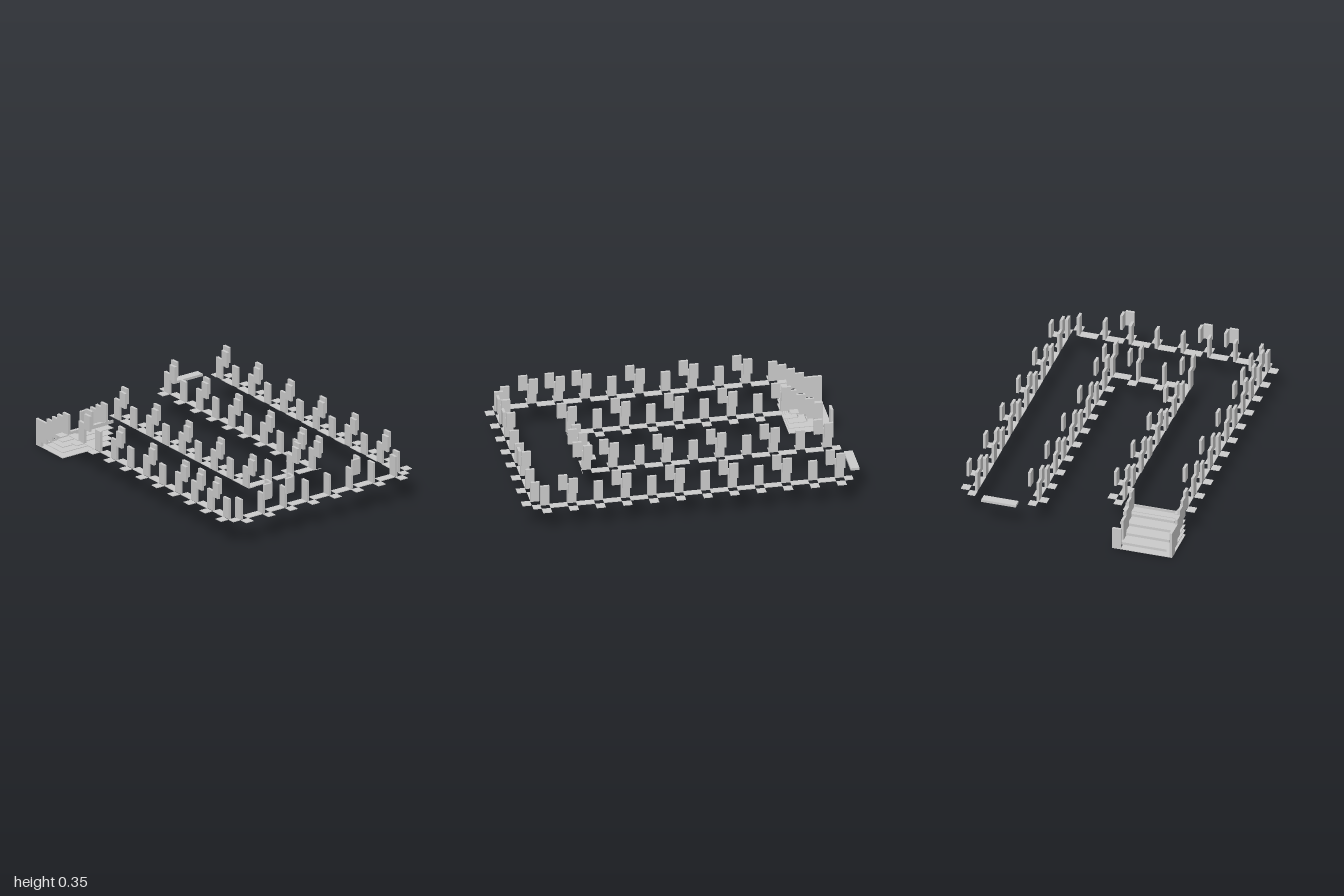
import * as THREE from 'three';

const STEP = 0.158;   // module spacing
const W = 0.053;      // panel and slab width
const T = 0.016;      // panel thickness
const FLOOR = 0.165;

export function createModel() {
  const model = new THREE.Group();
  model.name = 'walkwayWithStairs';
  const stone = new THREE.MeshStandardMaterial({ color: 0xcacaca });
  stone.name = 'pale grey';

  // Box given by its two corners
  function block(parent, name, x0, x1, y0, y1, z0, z1) {
    const mesh = new THREE.Mesh(new THREE.BoxGeometry(x1 - x0, y1 - y0, z1 - z0), stone);
    mesh.position.set((x0 + x1) / 2, (y0 + y1) / 2, (z0 + z1) / 2);
    mesh.name = name;
    parent.add(mesh);
  }
  const slab = (g, x0, x1, z0, z1) => block(g, 'floorSlab', x0, x1, FLOOR - 0.004, FLOOR, z0, z1);
  const post = (g, x, z) => block(g, 'post', x, x + W, FLOOR, 0.29, z - T, z);
  const raised = (g, x, z) => block(g, 'raisedPanel', x, x + W, 0.255, 0.35, z - T, z);

  // A post, with two raised panels beside and behind it where tall
  function upright(g, x, z, tall) {
    post(g, x, z);
    if (tall) {
      raised(g, x + W, z);
      raised(g, x, z - 0.051);
    }
  }
  const X = (k) => -0.895 + STEP * k;
  const Z = (j) => -0.53 + STEP * j;

  // Long rows: z = post front, tile = main strip, side = offset slabs
  const even = (k) => k % 2 === 0;
  const rows = [
    { name: 'backRow', z: -0.585, tile: [-0.632, -0.585], side: [-0.687, -0.637], from: 0, to: 11, tall: even },
    { name: 'innerBackRow', z: -0.212, tile: [-0.265, -0.216], side: [-0.216, -0.165], from: 0, to: 9, tall: (k) => even(k) || k === 9 },
    { name: 'innerFrontRow', z: 0.26, tile: [0.206, 0.255], side: [0.155, 0.206], from: 1, to: 9, tall: (k) => !even(k) },
    { name: 'frontRow', z: 0.628, tile: [0.577, 0.628], side: [0.63, 0.682], from: 1, to: 11, tall: (k) => even(k) || k === 9 },
  ];
  for (const r of rows) {
    const g = new THREE.Group();
    g.name = r.name;
    slab(g, X(r.from) - 0.05, X(r.from), ...r.tile);
    for (let k = r.from; k <= r.to; k++) {
      const last = k === r.to;
      upright(g, X(k), r.z, r.tall(k));
      if (!(last && r.to === 9)) slab(g, X(k), X(k) + W, ...r.side);
      slab(g, X(k) + W, last ? X(k) + (r.to === 9 ? W + 0.002 : 0.1) : X(k + 1), ...r.tile);
    }
    model.add(g);
  }

  // Short cross row joining the inner rows
  const middle = new THREE.Group();
  middle.name = 'innerEndRow';
  slab(middle, 0.525, 0.577, -0.218, -0.11);
  for (const j of [3, 4]) {
    upright(middle, 0.525, Z(j), j === 3);
    slab(middle, 0.472, 0.525, Z(j) - W, Z(j));
    slab(middle, 0.525, 0.577, Z(j), Z(j) + 0.105);
  }
  slab(middle, 0.472, 0.577, 0.206, 0.255);
  model.add(middle);

  // Outer cross row at the far end
  const end = new THREE.Group();
  end.name = 'outerEndRow';
  for (let j = 0; j < 8; j++) {
    const z = Z(j);
    post(end, 0.89, z);
    slab(end, 0.945, 0.998, z - W, z);
    if (j < 7) slab(end, 0.89, 0.943, z, z + 0.105);
    if ([2, 5, 6].includes(j)) {
      block(end, 'raisedSidePanel', 0.945, 0.961, 0.255, 0.35, z - W, z);
      raised(end, 0.89, z - W);
    }
  }
  model.add(end);

  // Loose bench plate at the back corner
  block(model, 'benchPlate', -1, -0.948, FLOOR, 0.18, -0.53, -0.32);

  // Stairs: stacked treads, low risers and stepped side walls
  const stairs = new THREE.Group();
  stairs.name = 'stairs';
  const rise = 0.0335;
  const tops = [0.165, 0.165, 0.197, 0.23, 0.262];
  block(stairs, 'landing', -1, -0.947, 0, 0.004, 0.315, 0.628);
  block(stairs, 'entryPanel', -1, -0.984, 0, 0.135, 0.265, 0.318);
  for (let i = 0; i < 5; i++) {
    const x = -1 + 0.0525 * i;
    const y = rise * i;
    block(stairs, 'outerWall', x, x + 0.0525, y, tops[i], 0.613, 0.629);
    if (i > 0) block(stairs, 'innerWall', x, x + 0.0525, y, tops[i], 0.302, 0.318);
    if (i < 4) block(stairs, 'tread', x + 0.0525, -0.738, y, y + 0.004, 0.265, 0.628);
    block(stairs, 'riser', x + 0.0475, x + 0.0525, y + 0.004, y + 0.02, 0.265, 0.58);
  }
  block(stairs, 'topTread', -0.79, -0.738, rise * 4, rise * 4 + 0.004, 0.265, 0.628);
  model.add(stairs);

  return model;
}
